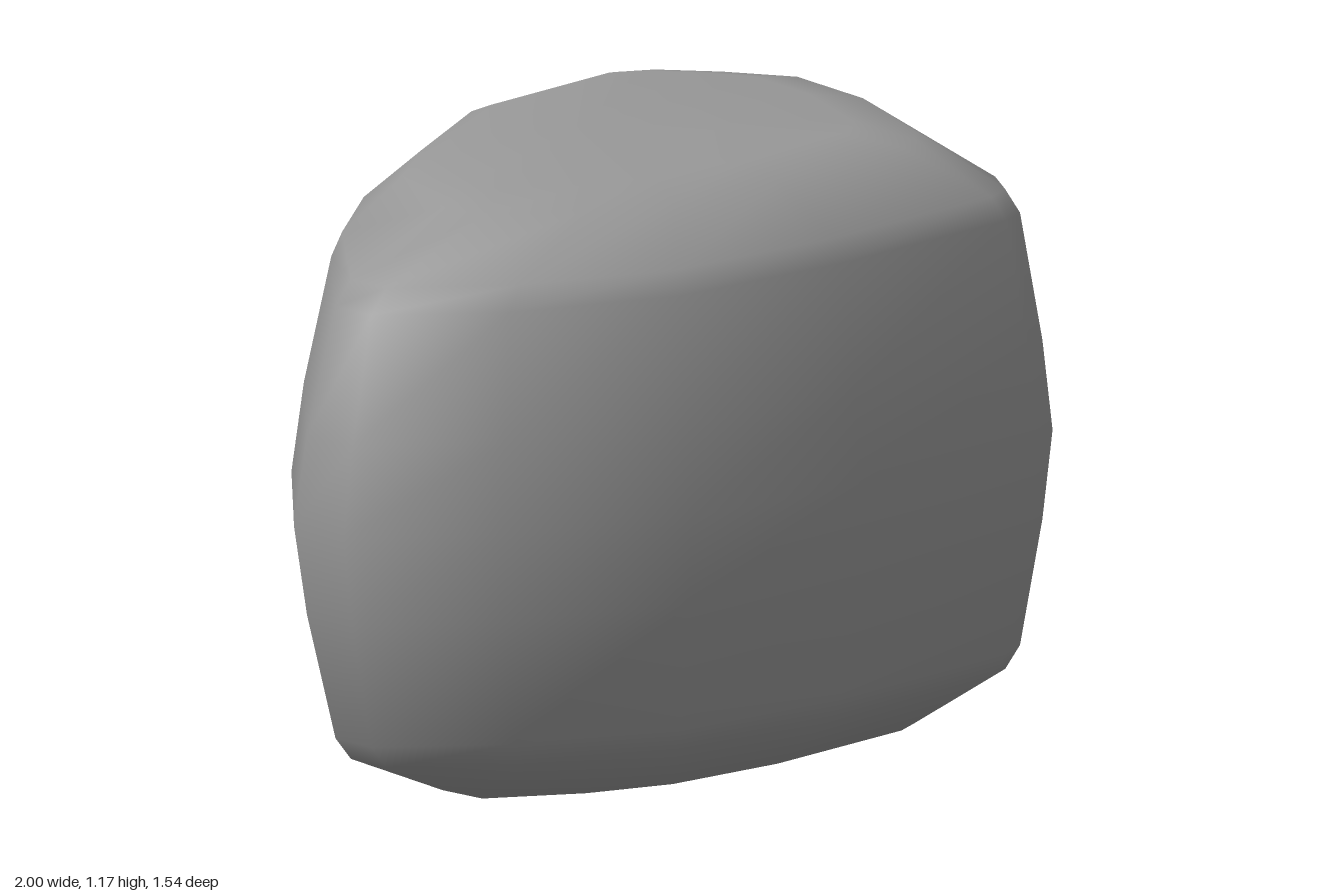
import * as THREE from 'three';

// Plan outlines [x, z], 16 matching points each: widest girdle, shoulder and plateau edge
const girdle = [
  [0.62, -0.77], [0.73, -0.73], [0.89, -0.51], [1, -0.23], [0.96, 0.04], [0.78, 0.45], [0.7, 0.58], [0.62, 0.63],
  [0.08, 0.74], [-0.37, 0.77], [-0.76, 0.67], [-1, 0.5], [-0.99, 0.35], [-0.63, -0.06], [-0.34, -0.3], [0.07, -0.53],
];
const shoulder = [
  [0.6, -0.7], [0.68, -0.67], [0.82, -0.46], [0.94, -0.21], [0.9, 0.03], [0.73, 0.42], [0.66, 0.53], [0.59, 0.57],
  [0.08, 0.68], [-0.36, 0.72], [-0.7, 0.63], [-0.91, 0.48], [-0.9, 0.37], [-0.58, 0], [-0.31, -0.24], [0.07, -0.46],
];
const plateau = [
  [0.53, -0.45], [0.6, -0.42], [0.68, -0.32], [0.75, -0.19], [0.7, 0.05], [0.56, 0.35], [0.5, 0.42], [0.43, 0.46],
  [0.04, 0.55], [-0.24, 0.57], [-0.42, 0.53], [-0.6, 0.44], [-0.6, 0.33], [-0.45, 0.05], [-0.25, -0.12], [0.07, -0.34],
];
const CENTRE = [0.02, 0.02];
const MID = 0.583;

const blend = (a, b, t) => a.map(([x, z], i) => [x + (b[i][0] - x) * t, z + (b[i][1] - z) * t]);

// Smooth normals weighted by corner angle, so large faces do not dominate the rounded edges
function smoothNormals(geometry) {
  const points = geometry.attributes.position;
  const index = geometry.index.array;
  const normals = Array.from({ length: points.count }, () => new THREE.Vector3());
  for (let f = 0; f < index.length; f += 3) {
    const ids = [index[f], index[f + 1], index[f + 2]];
    const corners = ids.map((id) => new THREE.Vector3().fromBufferAttribute(points, id));
    const normal = new THREE.Triangle(...corners).getNormal(new THREE.Vector3());
    ids.forEach((id, k) => {
      const toNext = corners[(k + 1) % 3].clone().sub(corners[k]);
      const toPrevious = corners[(k + 2) % 3].clone().sub(corners[k]);
      normals[id].addScaledVector(normal, toNext.angleTo(toPrevious));
    });
  }
  const values = normals.flatMap((v) => v.normalize().toArray());
  geometry.setAttribute('normal', new THREE.Float32BufferAttribute(values, 3));
}

export function createModel() {
  const n = girdle.length;
  const middle = girdle.map(() => CENTRE);

  // Upper half: height above the girdle and its outline
  const upper = [
    [0.17, blend(girdle, shoulder, 0.3)],
    [0.41, blend(girdle, shoulder, 0.96)],
    [0.455, blend(shoulder, plateau, 0.13)],
    [0.553, plateau],
    [0.577, blend(plateau, middle, 0.19)],
  ];
  // The lower half mirrors the upper one
  const rings = [
    ...upper.map(([h, r]) => [-h, r]).reverse(),
    [0, girdle],
    ...upper,
  ];

  const positions = [];
  for (const [h, ring] of rings) for (const [x, z] of ring) positions.push(x, MID + h, z);
  const bottom = positions.length / 3;
  positions.push(CENTRE[0], 0, CENTRE[1], CENTRE[0], MID * 2, CENTRE[1]);

  // Skin between neighbouring rings, then fans closing both ends
  const index = [];
  const last = (rings.length - 1) * n;
  for (let i = 0; i < n; i++) {
    const j = (i + 1) % n;
    for (let k = 0; k < last; k += n) {
      const a = k + i, b = k + j, c = a + n, d = b + n;
      index.push(a, c, b, b, c, d);
    }
    index.push(bottom, i, j, bottom + 1, last + j, last + i);
  }

  const geometry = new THREE.BufferGeometry();
  geometry.setAttribute('position', new THREE.Float32BufferAttribute(positions, 3));
  geometry.setIndex(index);
  smoothNormals(geometry);

  const rock = new THREE.Mesh(geometry, new THREE.MeshStandardMaterial({ color: 0x999999 }));
  rock.name = 'rock';
  const group = new THREE.Group();
  group.name = 'boulder';
  group.add(rock);
  return group;
}
